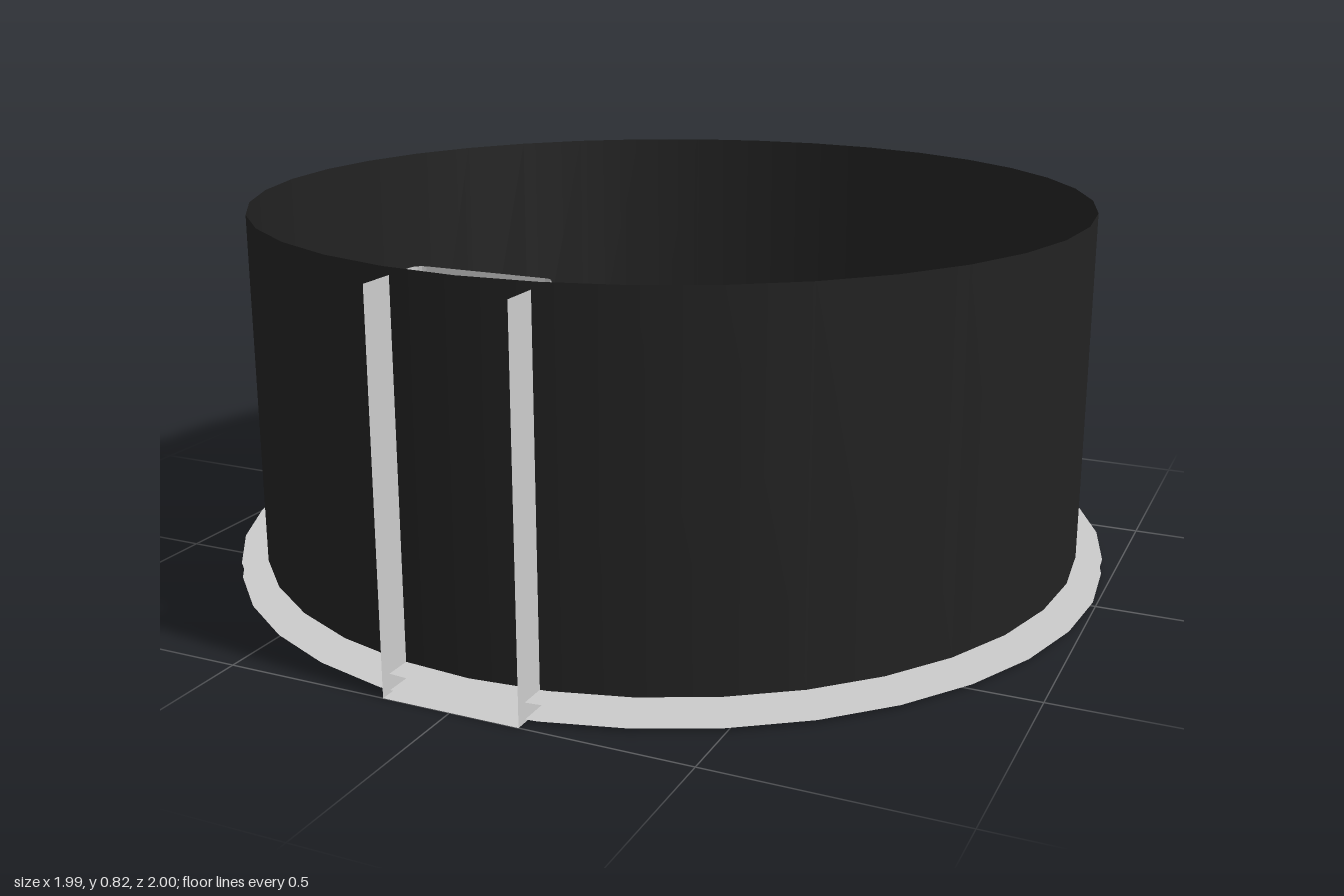
import * as THREE from 'three';

const SIDES = 36;
const CENTRE_Z = -0.005;

const grey = new THREE.MeshStandardMaterial({ color: 0xcccccc, side: THREE.DoubleSide });
const greyOneSided = new THREE.MeshStandardMaterial({ color: 0xcccccc });
const black = new THREE.MeshStandardMaterial({ color: 0x222222, side: THREE.DoubleSide });

// Thin surface of revolution from [radius, height] pairs
function ring(name, profile, material) {
  const points = profile.map(([r, y]) => new THREE.Vector2(r, y));
  const mesh = new THREE.Mesh(new THREE.LatheGeometry(points, SIDES), material);
  mesh.name = name;
  mesh.position.z = CENTRE_Z;
  return mesh;
}

// Plan outline of the clip: a channel open to the front, with rounded inner corners
function clipOutline() {
  const w = 0.147, front = 1.0, back = 0.825, r = 0.022;
  const points = [[w, front]];
  for (let i = 0; i <= 4; i++) {
    const a = (i / 4) * Math.PI / 2;
    points.push([w - r + r * Math.cos(a), back + r - r * Math.sin(a)]);
  }
  const mirrored = points.map(([x, z]) => [-x, z]).reverse();
  return points.concat(mirrored);
}

// Upright sheet following the clip outline
function clipWall(outline, height) {
  const positions = [], index = [];
  outline.forEach(([x, z], i) => {
    positions.push(x, 0, z, x, height, z);
    if (i > 0) {
      const a = 2 * (i - 1);
      index.push(a, a + 2, a + 1, a + 1, a + 2, a + 3);
    }
  });
  const geometry = new THREE.BufferGeometry();
  geometry.setAttribute('position', new THREE.Float32BufferAttribute(positions, 3));
  geometry.setIndex(index);
  const flat = geometry.toNonIndexed();
  flat.computeVertexNormals();
  return flat;
}

export function createModel() {
  const model = new THREE.Group();
  model.name = 'ringWithClip';

  // Open black band
  model.add(ring('band', [[0.935, 0.04], [0.935, 0.82]], black));

  // Base flange: two thin plates joined by a slightly tapering inner lip
  const flange = new THREE.Group();
  flange.name = 'baseFlange';
  flange.add(
    ring('bottomPlate', [[0.885, 0.006], [0.993, 0.006]], grey),
    ring('innerLip', [[0.885, 0.006], [0.883, 0.02], [0.876, 0.043]], grey),
    ring('outerLedge', [[0.993, 0.04], [0.935, 0.04]], grey),
    ring('innerLedge', [[0.935, 0.045], [0.876, 0.043]], greyOneSided)
  );
  model.add(flange);

  // Channel-shaped clip passing through the front of the band
  const clip = new THREE.Group();
  clip.name = 'clip';
  const outline = clipOutline();
  const wall = new THREE.Mesh(clipWall(outline, 0.805), grey);
  wall.name = 'clipWall';
  const shape = new THREE.Shape(outline.map(([x, z]) => new THREE.Vector2(x, -z)));
  const foot = new THREE.Mesh(new THREE.ShapeGeometry(shape).rotateX(-Math.PI / 2), grey);
  foot.name = 'clipFoot';
  clip.add(wall, foot);
  model.add(clip);

  return model;
}
